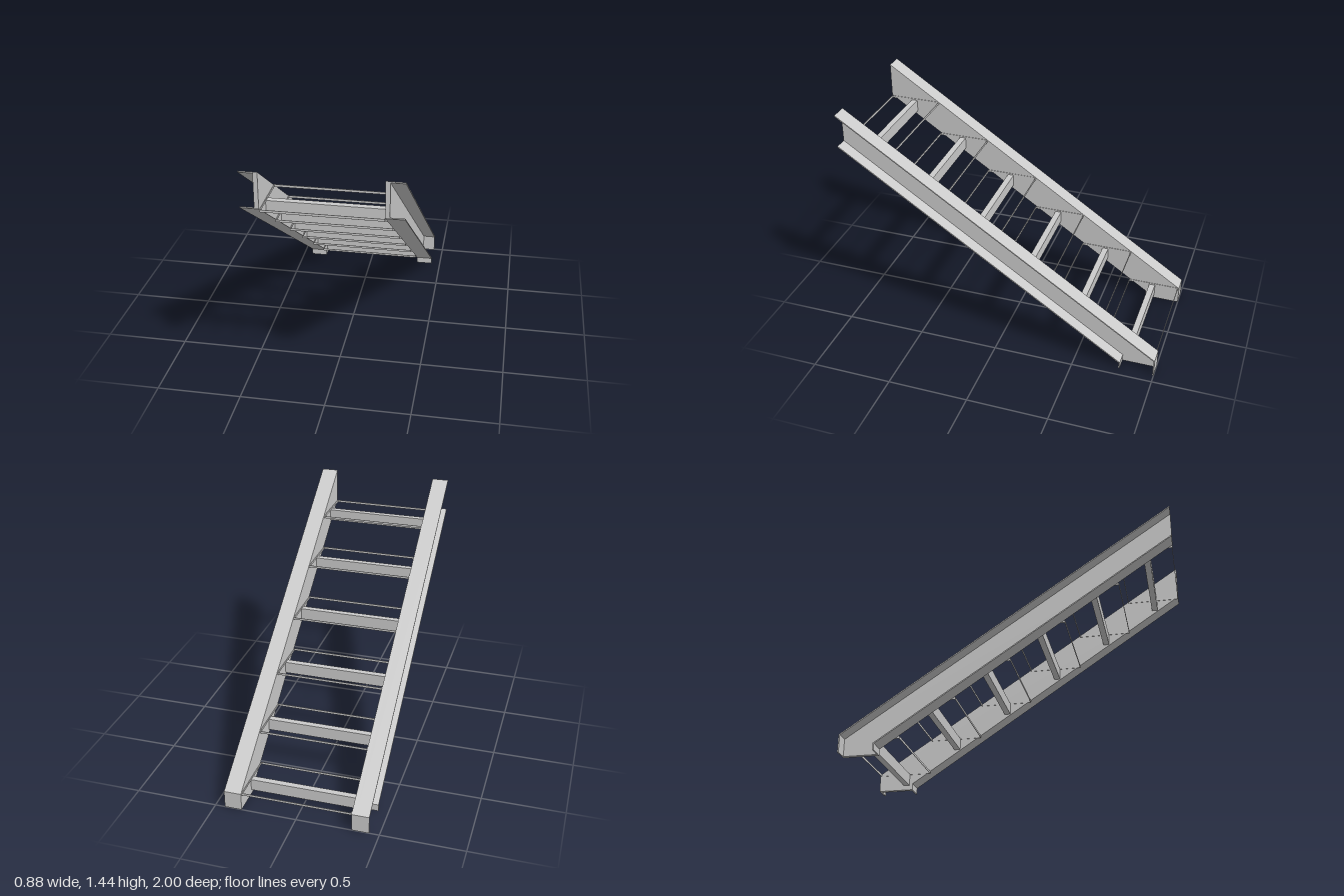
import * as THREE from 'three';

const material = new THREE.MeshStandardMaterial({ color: 0xcccccc, side: THREE.DoubleSide });

// Side profile given as [z, y] points, extruded across x from x0 to x1
function sidePlate(name, points, x0, x1) {
  const shape = new THREE.Shape(points.map(([z, y]) => new THREE.Vector2(-z, y)));
  const geometry = new THREE.ExtrudeGeometry(shape, { depth: x1 - x0, bevelEnabled: false });
  geometry.rotateY(Math.PI / 2).translate(x0, 0, 0);
  const mesh = new THREE.Mesh(geometry, material);
  mesh.name = name;
  return mesh;
}

function box(name, w, h, d, x, y, z) {
  const mesh = new THREE.Mesh(new THREE.BoxGeometry(w, h, d), material);
  mesh.name = name;
  mesh.position.set(x, y, z);
  return mesh;
}

// Sloping channel, open to the outside, with vertical returns at the foot
function stringer(side) {
  const group = new THREE.Group();
  group.name = side > 0 ? 'leftStringer' : 'rightStringer';
  const inner = 0.335, webOuter = 0.36, outer = 0.44, t = 0.008;
  const span = (a, b) => (side > 0 ? [a, b] : [-b, -a]);
  const top = [[1, 1.44], [-1, 0.11], [-1, 0]];
  const topInside = [[-1 + t, 0], [-1 + t, 0.107], [1, 1.44 - t]];
  const bottom = [[1, 1.228], [-0.78, 0.04], [-0.78, 0]];
  const bottomInside = [[-0.78 - t, 0], [-0.78 - t, 0.043], [1, 1.228 + t]];
  group.add(
    sidePlate('web', [...top, ...[...bottom].reverse()], ...span(inner, webOuter)),
    sidePlate('topFlange', [...top, ...topInside], ...span(webOuter, outer)),
    sidePlate('bottomFlange', [...bottom, ...bottomInside], ...span(webOuter, outer)),
  );
  return group;
}

// Open tread frame: thin edge strips around a deeper central bar
function tread(y, z) {
  const group = new THREE.Group();
  group.name = 'tread';
  const half = 0.334, depth = 0.33, h = 0.014, t = 0.003;
  for (const s of [-1, 1]) {
    group.add(
      box('edgeStrip', 2 * half, h, t, 0, -h / 2, s * (depth - t) / 2),
      box('endStrip', t, h, depth, s * (half - t / 2), -h / 2, 0),
    );
  }
  group.add(box('treadBar', 2 * half, 0.074, 0.038, 0, -0.047, 0.008));
  group.position.set(0, y, z);
  return group;
}

export function createModel() {
  const model = new THREE.Group();
  model.name = 'openStair';
  model.add(stringer(1), stringer(-1));
  for (let i = 0; i < 6; i++) model.add(tread(0.114 + i * 0.2218, -0.828 + i * 0.3322));
  return model;
}
